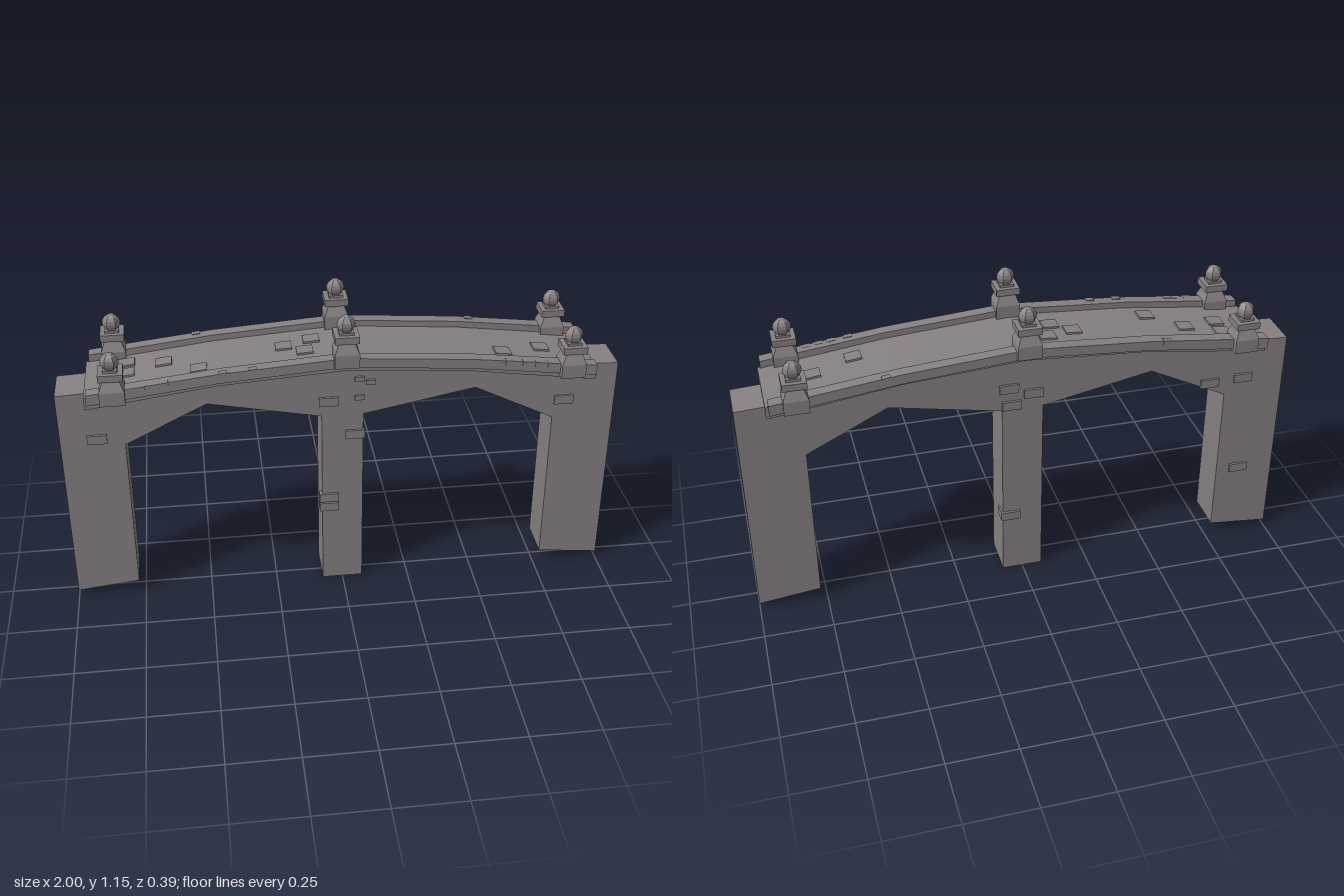
import * as THREE from 'three';

export function createModel() {
  const bridge = new THREE.Group();
  bridge.name = 'stoneBridge';
  const stone = new THREE.MeshStandardMaterial({ color: 0x878081, flatShading: true });
  stone.name = 'stone grey';

  const add = (name, geometry, parent = bridge) => {
    const mesh = new THREE.Mesh(geometry, stone);
    mesh.name = name;
    parent.add(mesh);
    return mesh;
  };
  const box = (name, w, h, d, x, y, z, parent) => {
    const mesh = add(name, new THREE.BoxGeometry(w, h, d), parent);
    mesh.position.set(x, y, z);
    return mesh;
  };

  // Extrude a symmetrical side profile, given as its right half, between two depths
  const span = (name, half, z0, z1) => {
    const left = half.filter(p => p[0] > 0).map(([x, y]) => [-x, y]).reverse();
    const shape = new THREE.Shape([...half, ...left].map(p => new THREE.Vector2(...p)));
    const geo = new THREE.ExtrudeGeometry(shape, { depth: z1 - z0, bevelEnabled: false });
    geo.translate(0, 0, z0);
    return add(name, geo);
  };

  // Piers and the two faceted arches
  const FRONT = 0.057, BACK = -0.094;
  span('archesAndPiers', [
    [0.075, 0], [0.075, 0.715], [0.48, 0.795], [0.773, 0.65], [0.773, 0.05],
    [1, 0.025], [1, 0.86], [0.89, 0.866], [0.44, 0.92], [0, 0.95],
  ], BACK, FRONT);

  // Road slab, then a parapet along each side
  span('roadSlab', [
    [0, 0.935], [0.44, 0.905], [0.895, 0.842], [0.895, 0.888], [0.44, 0.945], [0, 0.977],
  ], -0.137, 0.134);
  const rails = { front: [0.124, 0.168], back: [-0.176, -0.131] };
  for (const [side, [z0, z1]] of Object.entries(rails)) {
    span(side + 'Parapet', [
      [0, 0.966], [0.44, 0.932], [0.885, 0.876], [0.885, 0.916], [0.44, 0.968], [0, 1.0],
    ], z0, z1);
  }

  // Square pillar with a flared foot, cap and ball
  const square = (rTop, rBottom, h) =>
    new THREE.CylinderGeometry(rTop * Math.SQRT2, rBottom * Math.SQRT2, h, 4).rotateY(Math.PI / 4);
  const addPillar = (x, y, z) => {
    const pillar = new THREE.Group();
    pillar.name = 'pillar';
    pillar.position.set(x, y, z);
    bridge.add(pillar);
    box('pillarFoot', 0.086, 0.05, 0.086, 0, 0.025, 0, pillar);
    add('pillarFlare', square(0.029, 0.043, 0.035), pillar).position.y = 0.0675;
    box('pillarNeck', 0.06, 0.012, 0.06, 0, 0.088, 0, pillar);
    box('pillarCap', 0.084, 0.025, 0.084, 0, 0.1035, 0, pillar);
    box('ballSeat', 0.05, 0.01, 0.05, 0, 0.12, 0, pillar);
    add('ball', new THREE.SphereGeometry(0.032, 6, 8), pillar).position.y = 0.148;
  };
  for (const z of [0.147, -0.153]) {
    for (const x of [-0.795, 0, 0.795]) addPillar(x, x === 0 ? 0.972 : 0.882, z);
  }

  // Raised bricks on the front and back walls
  const wallBricks = [
    [FRONT, [[-0.87, 0.68], [-0.05, 0.775], [0.06, 0.86, 0.035, 0.018], [0.1, 0.845, 0.035, 0.018],
      [0.06, 0.785, 0.035, 0.018], [0.045, 0.635], [-0.05, 0.368], [-0.05, 0.328], [0.81, 0.725]]],
    [BACK, [[0.05, 0.805], [-0.04, 0.775], [0.04, 0.735], [0.045, 0.25],
      [-0.71, 0.71], [-0.84, 0.715], [-0.86, 0.31]]],
  ];
  for (const [z, list] of wallBricks) {
    for (const [x, y, w = 0.07, h = 0.034] of list) box('wallBrick', w, h, 0.018, x, y, z);
  }
  // Bricks wrapping the corners of the middle pier
  box('cornerBrick', 0.02, 0.034, 0.05, 0.072, 0.25, -0.075);
  box('cornerBrick', 0.02, 0.034, 0.03, -0.075, 0.368, 0.05);
  box('cornerBrick', 0.02, 0.034, 0.03, -0.075, 0.328, 0.05);

  // Paving stones and parapet chips follow the slope of the road
  const slope = x => (Math.abs(x) < 0.44 ? -0.0727 : -0.1253) * Math.sign(x);
  const roadY = x => Math.abs(x) < 0.44
    ? 0.977 - 0.0727 * Math.abs(x) : 0.945 - 0.1253 * (Math.abs(x) - 0.44);
  const onSlope = (name, w, h, d, x, lift, z) => {
    box(name, w, h, d, x, roadY(x) + lift, z).rotation.z = Math.atan(slope(x));
  };
  const paving = [[-0.75, -0.07], [-0.75, 0.005], [-0.62, -0.03], [-0.5, 0.06],
    [0.72, 0], [0.57, 0.05], [-0.1, -0.05], [-0.13, 0.03], [-0.2, -0.02]];
  for (const [x, z] of paving) onSlope('pavingStone', 0.058, 0.012, 0.055, x, 0.001, z);
  const chips = [[-0.7, 0.16], [-0.655, 0.16], [-0.62, 0.16], [-0.42, 0.16], [-0.32, 0.16],
    [0.57, 0.16], [0.63, 0.16], [0.675, 0.16], [0.72, 0.16], [0.49, -0.168], [-0.5, -0.168]];
  for (const [x, z] of chips) onSlope('parapetChip', 0.03, 0.018, 0.022, x, 0.017, z);

  return bridge;
}
